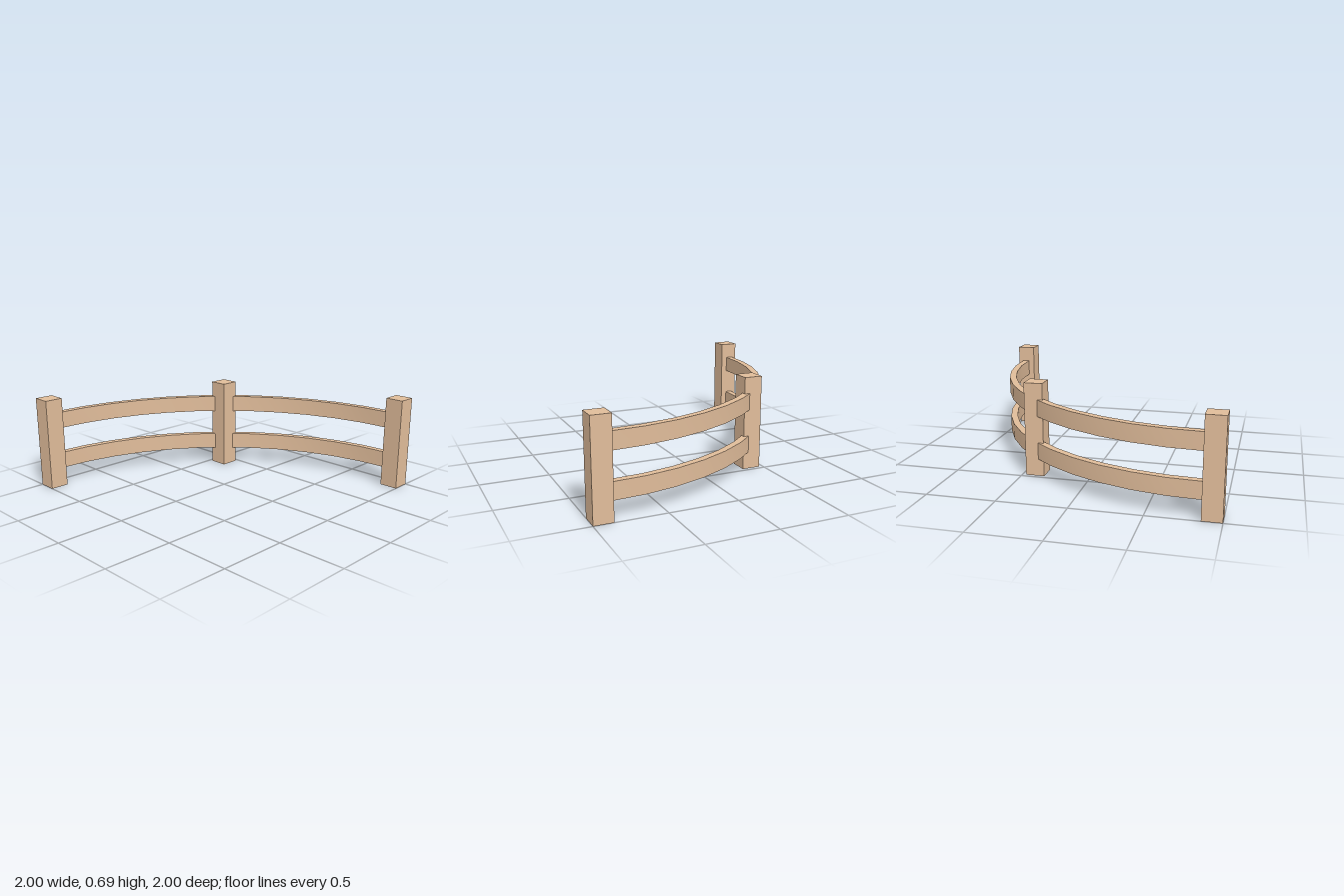
import * as THREE from 'three';
import { toCreasedNormals } from 'three/addons/utils/BufferGeometryUtils.js';

const wood = new THREE.MeshStandardMaterial({ color: 0xe0bc9a });

// Quarter-circle rail: a stepped arc band, extruded upwards
function makeRail(bottom, height) {
  const c = 0.866, outer = 1.828, inner = 1.776, steps = 12;
  const ring = (r) => Array.from({ length: steps + 1 }, (_, i) => {
    const a = (i / steps) * Math.PI / 2;
    return new THREE.Vector2(-c + r * Math.sin(a), -c + r * Math.cos(a));
  });
  const shape = new THREE.Shape([...ring(outer), ...ring(inner).reverse()]);
  const geo = new THREE.ExtrudeGeometry(shape, { depth: height, bevelEnabled: false });
  geo.rotateX(-Math.PI / 2).translate(0, bottom, 0);
  return new THREE.Mesh(toCreasedNormals(geo, Math.PI / 6), wood);
}

export function createModel() {
  const fence = new THREE.Group();
  fence.name = 'curvedFence';

  // Three square posts
  const postHeight = 0.69, postWidth = 0.137;
  const postGeo = new THREE.BoxGeometry(postWidth, postHeight, postWidth);
  const posts = [['leftPost', 0.9315, 0.9315], ['middlePost', 0.403, -0.403], ['rightPost', -0.9315, -0.9315]];
  for (const [name, x, z] of posts) {
    const post = new THREE.Mesh(postGeo, wood);
    post.name = name;
    post.position.set(x, postHeight / 2, z);
    fence.add(post);
  }

  // Two curved rails
  for (const [name, bottom] of [['lowerRail', 0.127], ['upperRail', 0.447]]) {
    const rail = makeRail(bottom, 0.123);
    rail.name = name;
    fence.add(rail);
  }
  return fence;
}
